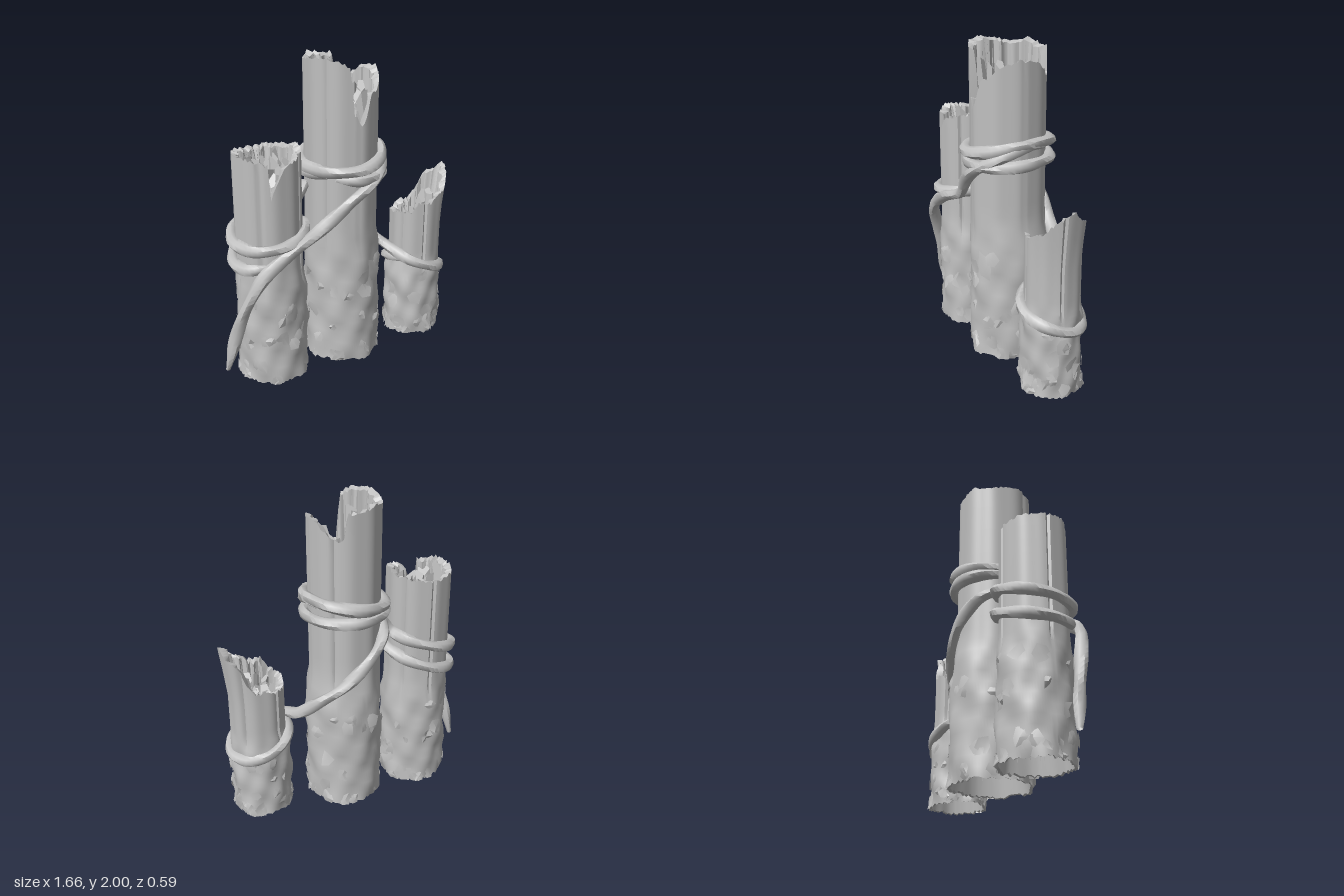
import * as THREE from 'three';
import { toCreasedNormals } from 'three/addons/utils/BufferGeometryUtils.js';

const RAD = Math.PI / 180;
const COLS = 90;
let seed = 7;
const rnd = (a = 0, b = 1) => {
  seed = (seed * 16807) % 2147483647;
  return a + (b - a) * seed / 2147483647;
};
const lerp = THREE.MathUtils.lerp;
const smooth = THREE.MathUtils.smoothstep;

// Posts: centre, depth ratio, radii, foot shift, height where rough bark ends,
// and broken rim as [degrees, height]. Angles run from the front (+z) towards +x.
const posts = [
  { name: 'middlePost', x: 0.033, z: -0.003, deep: 1.07, r: 0.22, low: 0.238, footX: 0.012, footZ: -0.012,
    bark: 0.95, floor: 1.62, flare: 0, phase: 1,
    rim: [[-180, 1.95], [-150, 1.98], [-120, 1.96], [-90, 1.98], [-60, 2], [-32, 1.98], [-18, 1.95], [-13, 1.68],
      [3, 1.6], [12, 1.7], [22, 1.8], [32, 1.78], [50, 1.86], [80, 1.9], [110, 1.88], [140, 1.8], [155, 1.78], [162, 1.95], [180, 1.95]] },
  { name: 'rightPost', x: -0.48, z: 0, deep: 1, r: 0.203, low: 0.216, footX: 0.008, footZ: 0,
    bark: 0.8, floor: 1.36, flare: 0, phase: 4,
    rim: [[-180, 1.45], [-140, 1.47], [-90, 1.48], [-60, 1.49], [-38, 1.47], [-24, 1.46], [-22, 1.23], [-15, 1.3],
      [5, 1.44], [30, 1.46], [60, 1.48], [85, 1.5], [110, 1.47], [150, 1.46], [180, 1.45]] },
  { name: 'leftPost', x: 0.612, z: 0.018, deep: 0.95, r: 0.171, low: 0.188, footX: -0.008, footZ: 0,
    bark: 0.6, floor: 0.8, flare: 0.14, phase: 8,
    rim: [[-180, 0.9], [-150, 0.86], [-110, 0.88], [-70, 0.9], [-40, 0.92], [-28, 0.98], [0, 0.97], [20, 1.02],
      [40, 1.03], [55, 1.09], [75, 1.13], [90, 1.17], [105, 1.12], [130, 1.08], [145, 0.96], [165, 0.88], [180, 0.9]] },
];

function rimHeight(post, deg) {
  const d = ((deg + 180) % 360 + 360) % 360 - 180;
  const i = Math.max(1, post.rim.findIndex(p => p[0] >= d));
  const [a, b] = [post.rim[i - 1], post.rim[i]];
  return lerp(a[1], b[1], (d - a[0]) / (b[0] - a[0]));
}

const barkAmount = (post, y) => 1 - smooth(y, post.bark * 0.7, post.bark);

// Outer radius: smooth, ribbed and cracked wood above, lumpy bark below
function surfaceRadius(post, deg, y) {
  const t = deg * RAD, k = post.phase;
  const crack = 0.014 * Math.pow(Math.max(0, Math.sin(5 * t + k + Math.sin(3 * t + k))), 60);
  const ribs = 0.003 * Math.sin(9 * t + k) - crack;
  const lumps = 0.006 * Math.sin(5 * t + 11 * y + k) + 0.005 * Math.sin(8 * t - 17 * y + k)
    + 0.005 * Math.sin(3 * t + 29 * y);
  const lean = post.flare * Math.max(0, y - 0.85) * Math.max(0, Math.sin(t));
  return lerp(post.r + ribs, post.low + lumps, barkAmount(post, y)) + lean;
}

function place(post, deg, y, radius) {
  const foot = barkAmount(post, y);
  return new THREE.Vector3(
    post.x + post.footX * foot + radius * Math.sin(deg * RAD), y,
    post.z + post.footZ * foot + radius * post.deep * Math.cos(deg * RAD));
}

function ringsGeometry(rings) {
  const pos = [], idx = [];
  rings.forEach(ring => ring.forEach(p => pos.push(p.x, p.y, p.z)));
  const n = rings[0].length;
  for (let r = 0; r < rings.length - 1; r++) {
    for (let j = 0; j < n; j++) {
      const a = r * n + j, b = r * n + (j + 1) % n;
      idx.push(a, b, a + n, b, b + n, a + n);
    }
  }
  const g = new THREE.BufferGeometry();
  g.setAttribute('position', new THREE.Float32BufferAttribute(pos, 3));
  g.setIndex(idx);
  return toCreasedNormals(g, 0.7);
}

// Hollow post wall: recessed underside, outside, broken rim, inside, splintered floor
function wallGeometry(post) {
  const degs = Array.from({ length: COLS }, (_, j) => j * 360 / COLS);
  const tops = degs.map(d => rimHeight(post, d) + rnd(-0.015, 0.005));
  const foot = degs.map(() => rnd(0, 0.02));
  const make = f => degs.map((d, j) => { const [r, y] = f(d, j); return place(post, d, y, r); });
  const rings = [
    make(() => [0.001, 0.27]),
    make(() => [post.low - 0.035, 0.25]),
    make((d, j) => [surfaceRadius(post, d, 0) - 0.015, foot[j] + 0.004]),
  ];
  const base = post.floor - 0.15;
  for (let i = 0; i <= 20; i++) {
    rings.push(make((d, j) => {
      const y = i ? base * i / 20 : foot[j];
      return [surfaceRadius(post, d, y), y];
    }));
  }
  for (const t of [0.35, 0.7, 1]) {
    rings.push(make((d, j) => { const y = lerp(base, tops[j], t); return [surfaceRadius(post, d, y), y]; }));
  }
  rings.push(make((d, j) => [surfaceRadius(post, d, tops[j]) - 0.035 - 0.012 * Math.sin(j * 1.1), tops[j] - 0.015]));
  rings.push(make((d, j) => [post.r - 0.055 - 0.015 * Math.sin(j * 0.9), post.floor - 0.08]));
  rings.push(make(() => [0.001, post.floor - 0.1]));
  return ringsGeometry(rings);
}

// Slanted, leaning, faceted splinter
function splinter(x, z, bottom, height, radius) {
  const g = new THREE.CylinderGeometry(radius * 0.75, radius, height, 5);
  const p = g.attributes.position, turn = rnd(0, 6.28), slope = rnd(0.5, 1.6);
  for (let i = 0; i < p.count; i++) {
    if (p.getY(i) > 0) p.setY(i, p.getY(i) + slope * (p.getX(i) * Math.cos(turn) + p.getZ(i) * Math.sin(turn)));
  }
  g.scale(1, 1, rnd(0.5, 1)).rotateY(rnd(0, 6)).rotateX(rnd(-0.15, 0.15)).rotateZ(rnd(-0.15, 0.15));
  return toCreasedNormals(g.translate(x, bottom + height / 2, z), 0.3);
}

// Curled bark chip hugging the post
function barkFlake(post, deg, y, size) {
  const n = 6, pos = [], idx = [];
  const add = (d, h, lift) => pos.push(...place(post, d, h, surfaceRadius(post, d, h) + lift).toArray());
  add(deg, y, 0.008);
  for (let i = 0; i < n; i++) {
    const a = i / n * 2 * Math.PI, s = size * rnd(0.5, 1.1);
    add(deg + Math.cos(a) * s / post.low / RAD, Math.max(0.005, y + Math.sin(a) * s * 1.2), rnd(-0.006, 0.014));
    idx.push(0, i + 1, (i + 1) % n + 1);
  }
  const g = new THREE.BufferGeometry();
  g.setAttribute('position', new THREE.Float32BufferAttribute(pos, 3));
  g.setIndex(idx);
  return toCreasedNormals(g, 0.5);
}

// Rope with uneven thickness; ends narrow a little
function ropeGeometry(points, radius) {
  const curve = new THREE.CatmullRomCurve3(points, false, 'centripetal');
  const frames = points.length * 5, sides = 8;
  const g = new THREE.TubeGeometry(curve, frames, radius, sides);
  const p = g.attributes.position, v = new THREE.Vector3();
  for (let i = 0; i <= frames; i++) {
    const c = curve.getPointAt(i / frames);
    const end = smooth(Math.min(i, frames - i), -4, 5);
    for (let j = 0; j <= sides; j++) {
      const k = i * (sides + 1) + j;
      const s = end * (1 + 0.13 * Math.sin(i * 0.5 + (j % sides) * 1.57));
      v.fromBufferAttribute(p, k).sub(c).multiplyScalar(s).add(c);
      p.setXYZ(k, v.x, v.y, v.z);
    }
  }
  return toCreasedNormals(g, 0.9);
}

export function createModel() {
  const group = new THREE.Group();
  const grey = new THREE.MeshStandardMaterial({ color: 0xc0c0c0, side: THREE.DoubleSide });
  grey.name = 'plain grey';
  const add = (parent, geometry, name) => {
    const m = new THREE.Mesh(geometry, grey);
    m.name = name;
    parent.add(m);
  };

  for (const post of posts) {
    const part = new THREE.Group();
    part.name = post.name;
    group.add(part);
    add(part, wallGeometry(post), 'brokenWall');
    // Splintered core, taller towards the wall
    for (let i = 0; i < 20; i++) {
      const d = i * 137.5, r = (post.r - 0.06) * Math.sqrt((i + 0.5) / 20);
      const c = place(post, d, post.floor, r);
      const top = lerp(post.floor, rimHeight(post, d), rnd(0.1, 1) * r / post.r);
      add(part, splinter(c.x, c.z, post.floor - 0.14, top - post.floor + 0.14, rnd(0.03, 0.06)), 'coreSplinter');
    }
    // Fibres hanging inside the hollow foot
    for (let i = 0; i < 40; i++) {
      const c = place(post, i * 9, 0, post.low - rnd(0.035, 0.05)), h = rnd(0.08, 0.2);
      const g = new THREE.ConeGeometry(0.008, h, 4).rotateX(Math.PI).translate(c.x, 0.25 - h / 2, c.z);
      add(part, g, 'rootFibre');
    }
    // Flaking bark, densest at the foot
    for (let i = 0; i < 50; i++) {
      const y = 0.03 + post.bark * 0.75 * Math.pow(rnd(), 2.4);
      add(part, barkFlake(post, i * 47 + rnd(0, 20), y, rnd(0.03, 0.06)), 'barkFlake');
    }
  }

  const [mid, right, left] = posts;
  const v = (x, y, z) => new THREE.Vector3(x, y, z);
  const wrap = (post, gap, list) => list.map(([d, y]) => place(post, d, y, post.r + gap));
  add(group.children[0], barkFlake(mid, 24, 0.62, 0.085), 'largeBarkFlake');

  // Rope with the hanging tail, crossing up to the middle post and circling it
  add(group, ropeGeometry([
    v(-0.82, 0.13, 0.06), v(-0.775, 0.36, 0.1), v(-0.71, 0.6, 0.16), v(-0.62, 0.79, 0.22),
    v(-0.42, 0.92, 0.235), v(-0.22, 1.0, 0.205), v(-0.05, 1.14, 0.245),
    ...wrap(mid, 0.025, [[15, 1.24], [50, 1.33], [90, 1.4], [135, 1.4], [180, 1.37], [225, 1.34], [270, 1.33], [315, 1.33],
      [360, 1.34], [405, 1.37], [450, 1.4], [480, 1.38]]),
  ], 0.037), 'upperRope');
  add(group, ropeGeometry(
    wrap(mid, 0.025, [[-40, 1.29], [0, 1.27], [45, 1.27], [90, 1.28], [135, 1.29], [180, 1.29], [225, 1.29], [270, 1.3], [310, 1.3]]),
    0.036), 'upperRopeLoop');

  // Rope circling the right post, passing behind the middle post and looping the left post
  add(group, ropeGeometry([
    ...wrap(right, 0.02, [[-25, 0.83], [-60, 0.8], [-90, 0.8], [-135, 0.82], [-180, 0.87], [-225, 0.93], [-270, 0.98],
      [-315, 0.97], [-360, 0.95], [-405, 0.93], [-450, 0.94], [-495, 0.97], [-540, 1.02], [-585, 1.07], [-615, 1.1]]),
    ...wrap(mid, 0.025, [[-100, 1.18], [-130, 1.14], [-155, 1.06], [-180, 0.97], [-205, 0.87]]),
    v(0.28, 0.77, -0.19), v(0.38, 0.67, -0.09),
    ...wrap(left, 0.016, [[-80, 0.62], [-40, 0.57], [0, 0.52], [45, 0.47], [90, 0.43], [135, 0.42], [180, 0.45],
      [225, 0.52], [270, 0.57], [300, 0.57]]),
  ], 0.035), 'lowerRope');

  return group;
}
